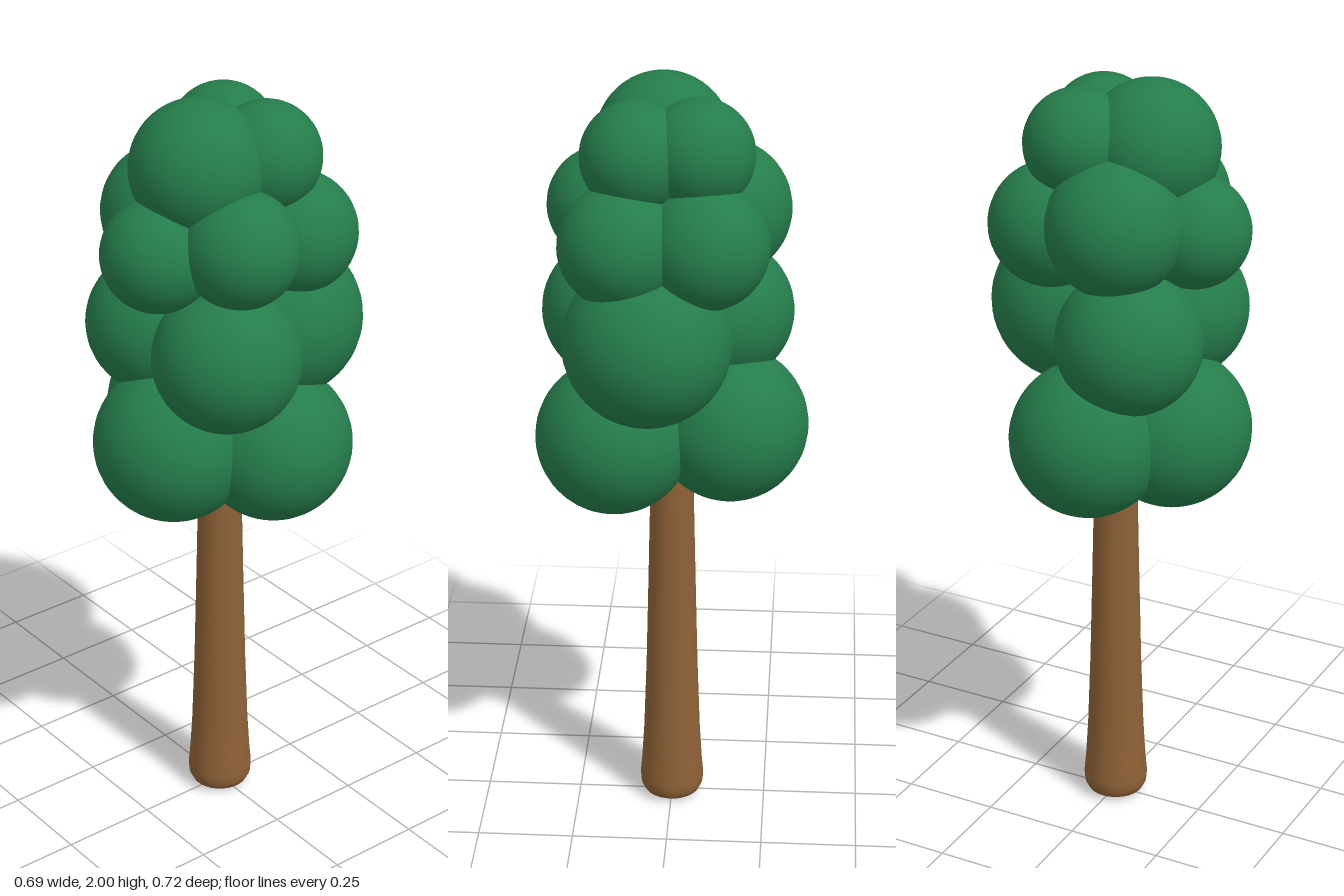
import * as THREE from 'three';

export function createModel() {
  const tree = new THREE.Group();
  tree.name = 'tree';
  const leafGreen = new THREE.MeshStandardMaterial({ color: 0x257d4b });
  leafGreen.name = 'leaf green';
  const barkBrown = new THREE.MeshStandardMaterial({ color: 0x8f6237 });
  barkBrown.name = 'bark brown';

  // Trunk: tapered, flared at the foot with a rounded bottom edge
  const profile = [
    [0, 0], [0.055, 0.003], [0.074, 0.012], [0.083, 0.03], [0.085, 0.055], [0.081, 0.1],
    [0.075, 0.2], [0.068, 0.4], [0.062, 0.65], [0.056, 0.92], [0.05, 1.3], [0, 1.32],
  ].map(([r, y]) => new THREE.Vector2(r, y));
  const trunk = new THREE.Mesh(new THREE.LatheGeometry(profile, 32), barkBrown);
  trunk.name = 'trunk';
  tree.add(trunk);

  // Foliage tiers, bottom to top; each clump is x, y, z, radius
  const tiers = {
    lowerFoliage: [
      [0.01, 1.105, 0.155, 0.203], [-0.148, 1.105, 0, 0.2], [0.143, 1.09, -0.06, 0.2],
    ],
    middleFoliage: [
      [-0.12, 1.375, 0.1, 0.185], [0.15, 1.375, 0.095, 0.186], [0.053, 1.385, -0.147, 0.211],
    ],
    upperFoliage: [
      [0.021, 1.635, 0.205, 0.142], [0.17, 1.665, 0.07, 0.146], [-0.122, 1.665, 0.06, 0.173],
      [0.117, 1.635, -0.145, 0.154], [-0.09, 1.635, -0.132, 0.157],
    ],
    crownFoliage: [
      [0.026, 1.83, 0.085, 0.17], [-0.07, 1.845, -0.065, 0.137], [0.083, 1.84, -0.077, 0.137],
    ],
  };
  const ball = new THREE.SphereGeometry(1, 40, 28);
  for (const [name, clumps] of Object.entries(tiers)) {
    const tier = new THREE.Group();
    tier.name = name;
    for (const [x, y, z, r] of clumps) {
      const clump = new THREE.Mesh(ball, leafGreen);
      clump.name = 'leafClump';
      clump.position.set(x, y, z);
      clump.scale.setScalar(r);
      tier.add(clump);
    }
    tree.add(tier);
  }
  return tree;
}
